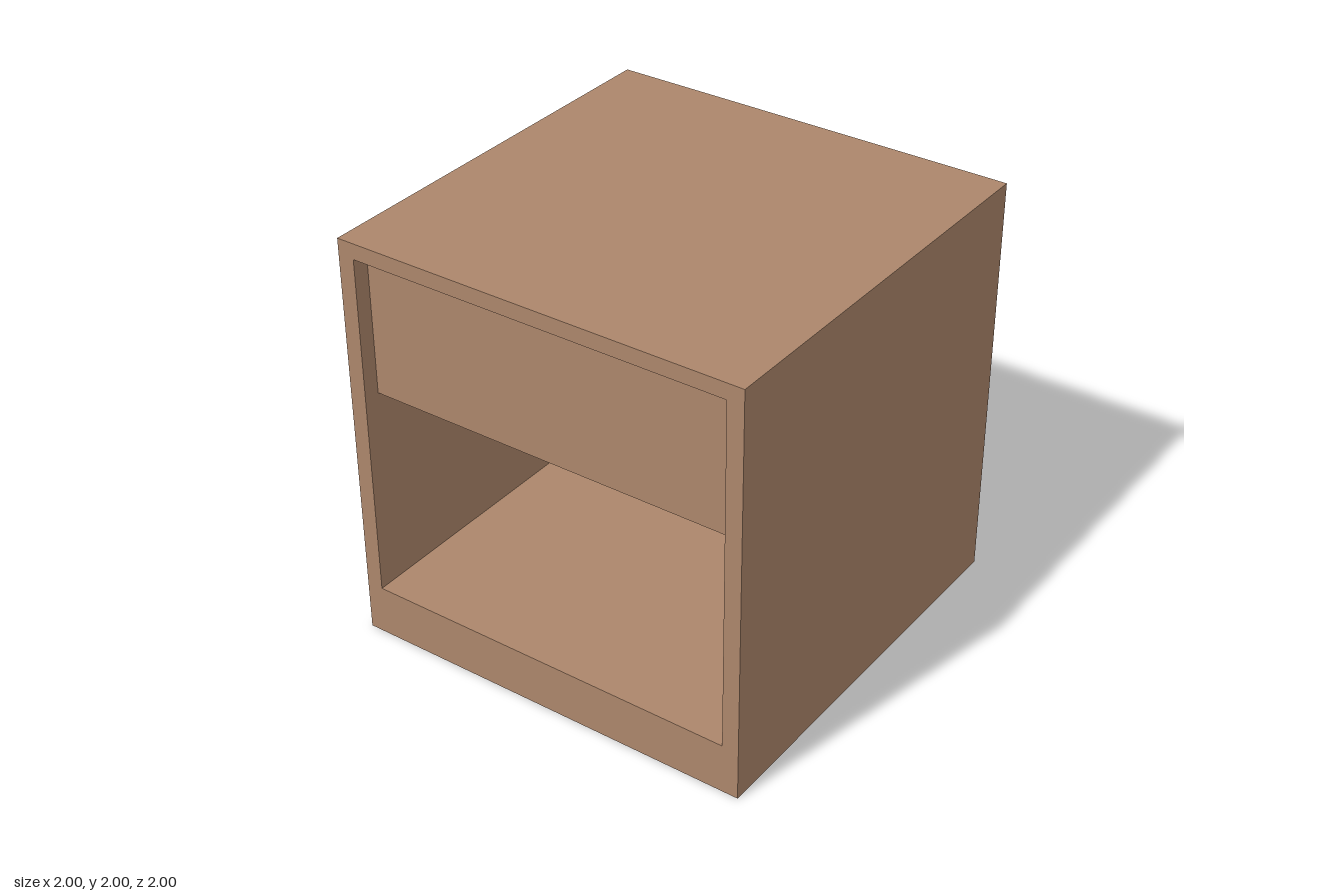
import * as THREE from 'three';

export function createModel() {
  const group = new THREE.Group();
  const wood = new THREE.MeshStandardMaterial({ color: 0xac866b });
  wood.name = 'wood';

  const rect = (path, halfWidth, bottom, top) => {
    path.moveTo(-halfWidth, bottom);
    path.lineTo(halfWidth, bottom);
    path.lineTo(halfWidth, top);
    path.lineTo(-halfWidth, top);
    path.closePath();
    return path;
  };

  // Outer case, open through both x sides, with a thick base
  const section = rect(new THREE.Shape(), 1, 0, 2);
  section.holes.push(rect(new THREE.Path(), 0.92, 0.245, 1.925));
  const caseGeometry = new THREE.ExtrudeGeometry(section, { depth: 2, bevelEnabled: false });
  caseGeometry.translate(0, 0, -1);
  caseGeometry.rotateY(Math.PI / 2);
  const outerCase = new THREE.Mesh(caseGeometry, wood);
  outerCase.name = 'case';
  group.add(outerCase);

  // Drawer block filling the upper opening, recessed at both ends
  const drawer = new THREE.Mesh(new THREE.BoxGeometry(1.84, 0.685, 1.84), wood);
  drawer.name = 'drawer';
  drawer.position.y = 1.24 + 0.685 / 2;
  group.add(drawer);

  return group;
}
